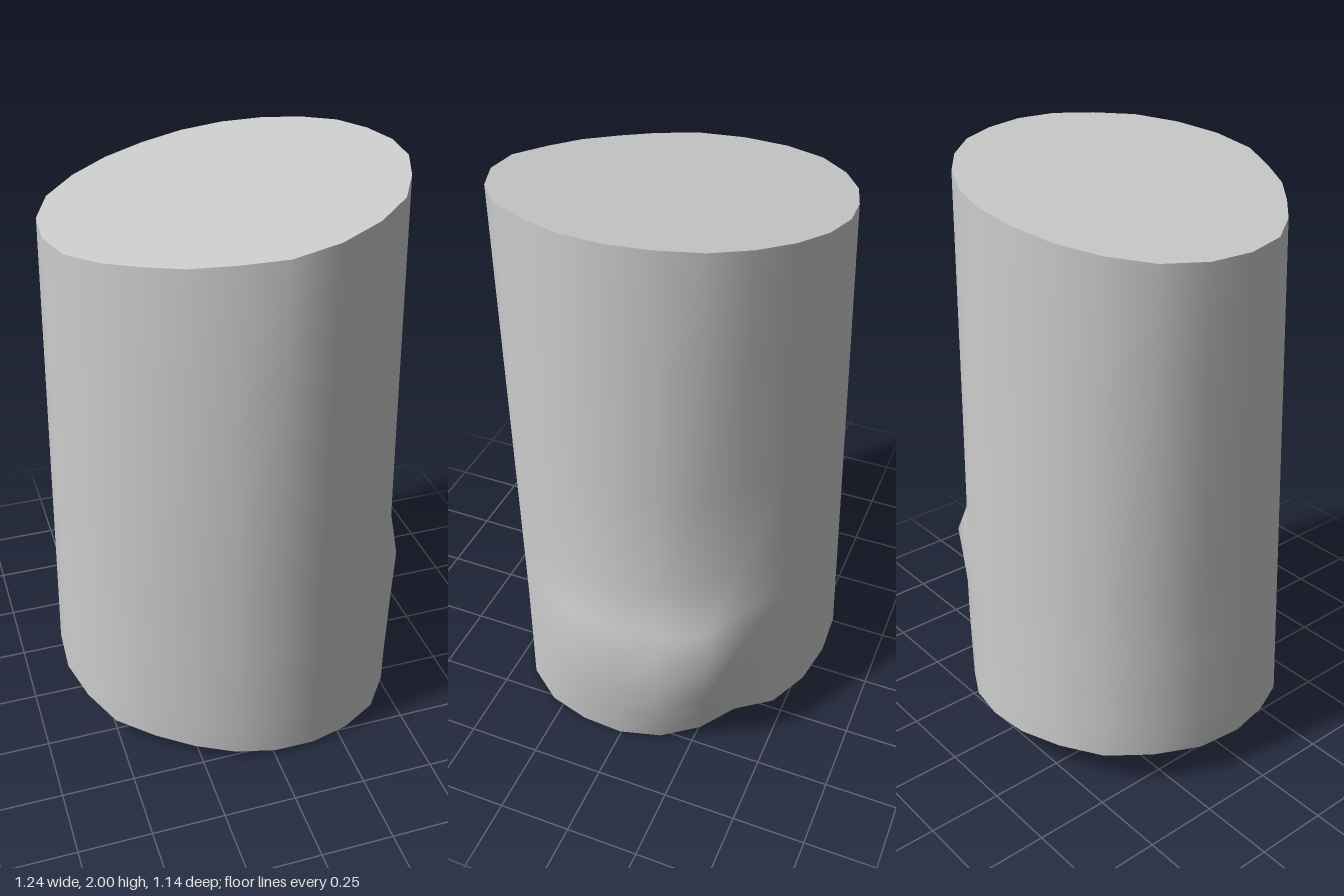
import * as THREE from 'three';

// Outline radii every 15 degrees, starting at +x and turning towards +z
const BASE = [0.57, 0.575, 0.59, 0.59, 0.57, 0.555, 0.545, 0.54, 0.54, 0.555, 0.59, 0.60,
  0.62, 0.635, 0.63, 0.63, 0.605, 0.59, 0.575, 0.565, 0.55, 0.50, 0.535, 0.56];
const TOP = [0.54, 0.55, 0.555, 0.575, 0.58, 0.58, 0.57, 0.535, 0.525, 0.52, 0.54, 0.57,
  0.585, 0.595, 0.595, 0.575, 0.556, 0.54, 0.535, 0.53, 0.525, 0.525, 0.53, 0.53];
// Extra radius of the knot, by outline index
const KNOT = { 0: 0.055, 1: 0.05, 2: 0.01, 20: 0.01, 21: 0.075, 22: 0.12, 23: 0.08 };
// Rings: [fraction of height, strength of the knot]
const RINGS = [[0, 0], [0.07, 0.4], [0.14, 0.8], [0.235, 1], [0.29, 0.65], [0.37, 0.1], [0.55, 0], [0.8, 0], [1, 0]];
const N = BASE.length;

// Slanted cuts at both ends
const baseHeight = (x, z) => Math.max(0, 0.062 - 0.085 * x - 0.07 * z);
const topHeight = (x) => 1.91 + 0.165 * x;

function ringPoints([t, knot]) {
  return BASE.map((base, i) => {
    const a = (i / N) * Math.PI * 2;
    const r = THREE.MathUtils.lerp(base, TOP[i], t) + knot * (KNOT[i] ?? 0);
    const x = r * Math.cos(a), z = r * Math.sin(a);
    return new THREE.Vector3(x, THREE.MathUtils.lerp(baseHeight(x, z), topHeight(x), t), z);
  });
}

function makeGeometry(points, index) {
  const geometry = new THREE.BufferGeometry().setFromPoints(points);
  geometry.setIndex(index);
  geometry.computeVertexNormals();
  return geometry;
}

// Smooth side lofted through the rings
function sideGeometry(rings) {
  const index = [];
  for (let j = 0; j < rings.length - 1; j++) {
    for (let i = 0; i < N; i++) {
      const k = (i + 1) % N;
      const a = j * N + i, b = j * N + k, c = a + N, d = b + N;
      index.push(a, c, b, b, c, d);
    }
  }
  return makeGeometry(rings.flat(), index);
}

// Cut face as a fan around the middle of a ring
function capGeometry(ring, up) {
  const centre = new THREE.Vector3();
  ring.forEach((p) => centre.addScaledVector(p, 1 / N));
  const index = [];
  for (let i = 0; i < N; i++) {
    const k = (i + 1) % N;
    index.push(N, up ? k : i, up ? i : k);
  }
  return makeGeometry([...ring, centre], index);
}

export function createModel() {
  const group = new THREE.Group();
  group.name = 'log';
  const material = new THREE.MeshStandardMaterial({ color: 0xcccccc });
  const rings = RINGS.map(ringPoints);
  const add = (name, geometry) => {
    const mesh = new THREE.Mesh(geometry, material);
    mesh.name = name;
    group.add(mesh);
  };
  add('bark', sideGeometry(rings));
  add('topCut', capGeometry(rings[rings.length - 1], true));
  add('bottomCut', capGeometry(rings[0], false));
  return group;
}
